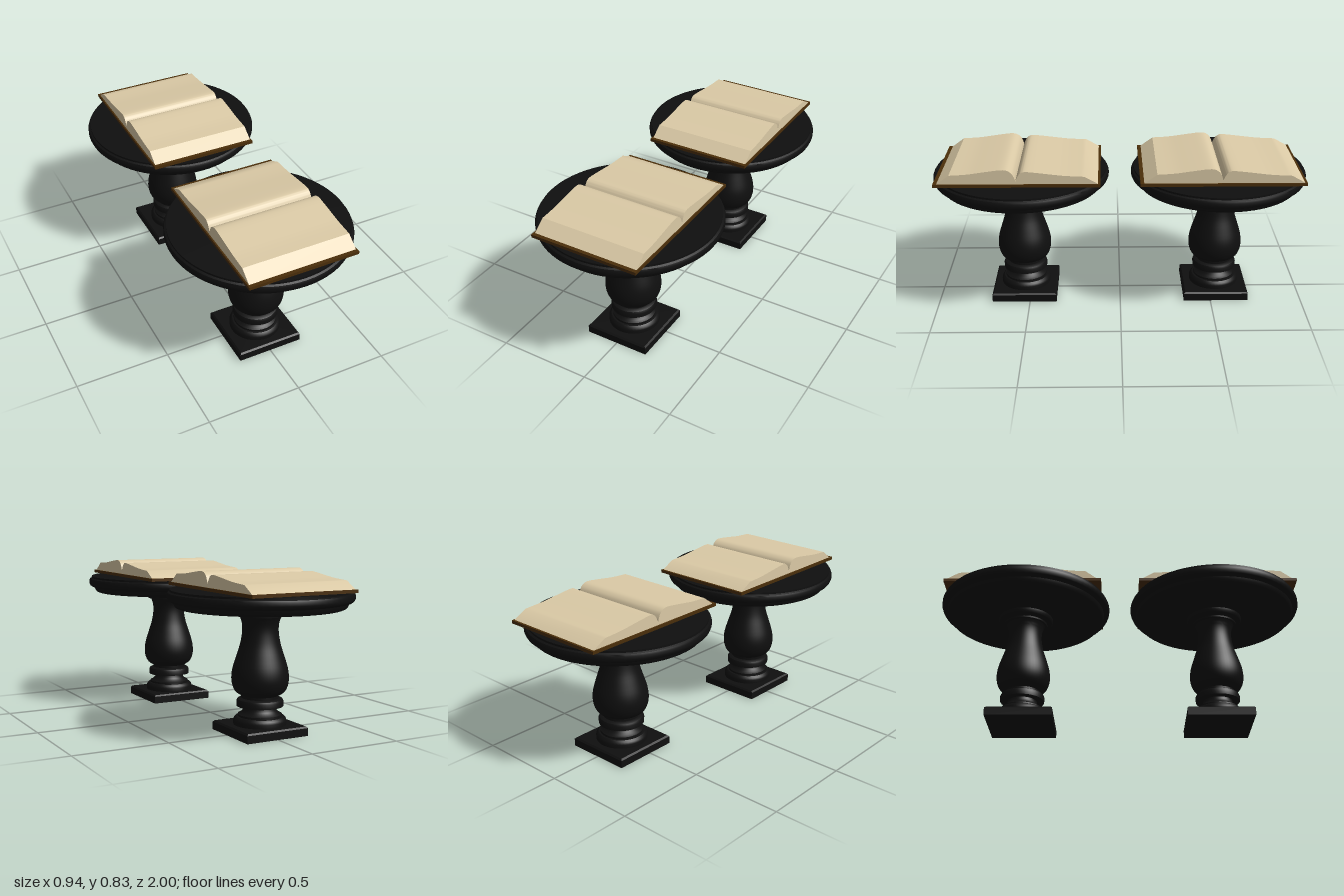
import * as THREE from 'three';
import { toCreasedNormals } from 'three/addons/utils/BufferGeometryUtils.js';

const stone = new THREE.MeshStandardMaterial({ name: 'blackStone', color: 0x0f0f0f });
const paper = new THREE.MeshStandardMaterial({ name: 'agedPaper', color: 0xdbcaa6 });
const leather = new THREE.MeshStandardMaterial({ name: 'brownLeather', color: 0x4a2e0a });

const vec = ([x, y]) => new THREE.Vector2(x, y);
const curve = (points, n) => new THREE.SplineCurve(points.map(vec)).getPoints(n);

function addMesh(parent, name, geometry, material, y = 0) {
  const mesh = new THREE.Mesh(geometry, material);
  mesh.name = name;
  mesh.position.y = y;
  parent.add(mesh);
  return mesh;
}

function turned(points, segments) {
  return toCreasedNormals(new THREE.LatheGeometry(points, segments), 0.6);
}

// Square plinth, turned baluster and round moulded top
function createTable() {
  const table = new THREE.Group();
  table.name = 'pedestalTable';

  addMesh(table, 'plinth', new THREE.BoxGeometry(0.354, 0.04, 0.354), stone, 0.02);
  const bevel = new THREE.CylinderGeometry(0.169 * Math.SQRT2, 0.177 * Math.SQRT2, 0.008, 4);
  bevel.rotateY(Math.PI / 4);
  addMesh(table, 'plinthBevel', toCreasedNormals(bevel, 0.3), stone, 0.044);

  const foot = [
    [0, 0.046], [0.135, 0.046], [0.136, 0.068], [0.132, 0.08], [0.122, 0.089],
    [0.113, 0.09], [0.112, 0.1], [0.098, 0.107], [0.087, 0.118], [0.081, 0.13], [0.079, 0.142],
    [0.119, 0.142], [0.12, 0.166], [0.115, 0.177], [0.105, 0.182], [0.095, 0.184], [0.095, 0.194],
  ].map(vec);
  const vase = curve([
    [0.095, 0.197], [0.124, 0.215], [0.14, 0.245], [0.146, 0.285], [0.14, 0.335], [0.122, 0.395],
    [0.103, 0.455], [0.093, 0.51], [0.092, 0.55], [0.098, 0.58], [0.107, 0.6],
  ], 30);
  const collar = [
    [0.12, 0.6], [0.121, 0.609], [0.135, 0.612], [0.145, 0.618], [0.151, 0.628], [0.152, 0.645],
  ].map(vec);
  addMesh(table, 'baluster', turned([...foot, ...vase, ...collar], 48), stone);

  const rim = [
    [0, 0.642], [0.418, 0.642], [0.429, 0.647], [0.436, 0.658], [0.44, 0.672], [0.455, 0.675],
    [0.465, 0.682], [0.47, 0.694], [0.47, 0.71], [0.466, 0.72], [0.456, 0.725], [0.456, 0.735], [0, 0.735],
  ].map(vec);
  addMesh(table, 'tableTop', turned(rim, 72), stone);
  return table;
}

// Open book: page block extruded along x, lying on a thin cover
function createBook() {
  const book = new THREE.Group();
  book.name = 'openBook';

  const nearPages = curve([
    [0.343, 0.8], [0.25, 0.806], [0.15, 0.82], [0.066, 0.829], [0.03, 0.815], [0.013, 0.79], [0.006, 0.767],
  ], 24);
  const farPages = curve([
    [0.006, 0.767], [-0.004, 0.79], [-0.02, 0.81], [-0.046, 0.818], [-0.12, 0.811],
    [-0.238, 0.797], [-0.345, 0.791],
  ], 24);
  const shape = new THREE.Shape([
    vec([-0.418, 0.75]), vec([0.412, 0.75]), ...nearPages, ...farPages.slice(1),
  ]);
  const pages = new THREE.ExtrudeGeometry(shape, { depth: 0.57, bevelEnabled: false });
  pages.rotateY(-Math.PI / 2);
  pages.translate(0.298, 0, 0);
  addMesh(book, 'pages', toCreasedNormals(pages, 0.5), paper);

  const cover = addMesh(book, 'cover', new THREE.BoxGeometry(0.585, 0.016, 0.855), leather, 0.744);
  cover.position.x = 0.0125;
  cover.position.z = 0.001;
  return book;
}

export function createModel() {
  const model = new THREE.Group();
  model.name = 'twoBookTables';
  for (const [name, z] of [['frontStand', 0.53], ['backStand', -0.53]]) {
    const stand = new THREE.Group();
    stand.name = name;
    stand.position.z = z;
    stand.add(createTable(), createBook());
    model.add(stand);
  }
  return model;
}
